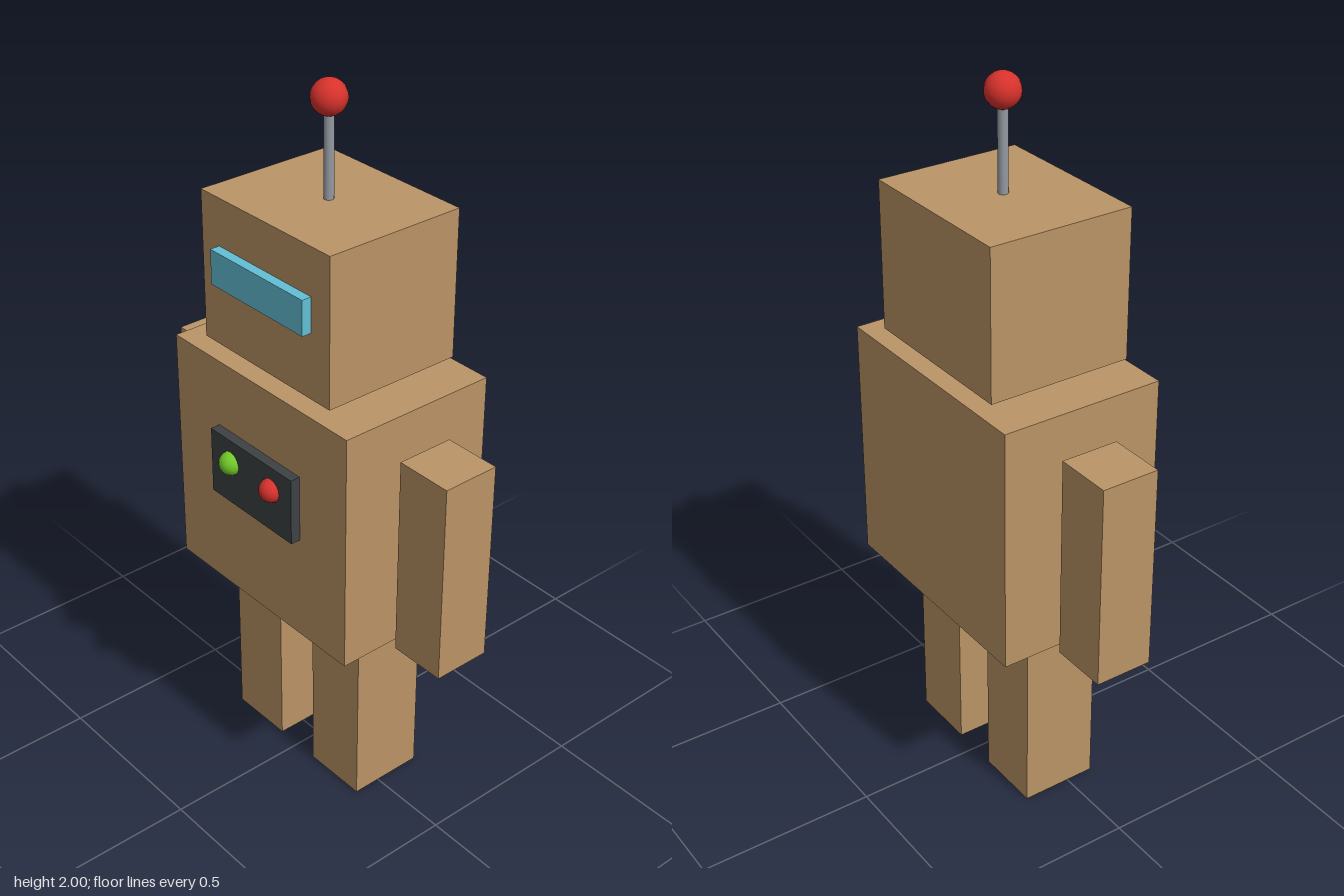
import * as THREE from 'three';

const material = (name, color) => {
  const m = new THREE.MeshStandardMaterial({ color });
  m.name = name;
  return m;
};

export function createModel() {
  const cardboard = material('cardboard brown', 0xba9466);
  const glass = material('visor blue', 0x62c0d6);
  const dark = material('panel charcoal', 0x3d4244);
  const red = material('signal red', 0xd8322c);
  const green = material('signal green', 0x72c92a);
  const metal = material('metal grey', 0x959ba3);

  const robot = new THREE.Group();
  robot.name = 'robot';

  const add = (name, geometry, mat, x, y, z) => {
    const mesh = new THREE.Mesh(geometry, mat);
    mesh.name = name;
    mesh.position.set(x, y, z);
    robot.add(mesh);
  };
  // Box given by its lower and upper bounds on each axis
  const box = (name, mat, [x0, x1], [y0, y1], [z0, z1]) =>
    add(name, new THREE.BoxGeometry(x1 - x0, y1 - y0, z1 - z0), mat,
      (x0 + x1) / 2, (y0 + y1) / 2, (z0 + z1) / 2);

  // Head and torso
  box('head', cardboard, [-0.246, 0.246], [1.28, 1.692], [-0.238, 0.172]);
  box('torso', cardboard, [-0.342, 0.342], [0.565, 1.252], [-0.265, 0.2]);

  // Limbs, mirrored left (+x) and right (-x)
  for (const [side, s] of [['left', 1], ['right', -1]]) {
    const span = (a, b) => (s > 0 ? [a, b] : [-b, -a]);
    box(side + 'Arm', cardboard, span(0.37, 0.534), [0.565, 1.142], [-0.115, 0.049]);
    box(side + 'Leg', cardboard, span(0.07, 0.261), [0, 0.55], [-0.138, 0.08]);
  }

  // Visor and chest panel with two lights
  box('visor', glass, [-0.178, 0.178], [1.464, 1.561], [0.165, 0.2]);
  box('chestPanel', dark, [-0.164, 0.164], [0.867, 1.059], [0.195, 0.228]);
  const lamp = new THREE.SphereGeometry(0.033, 16, 12);
  add('greenLight', lamp, green, -0.083, 0.991, 0.227);
  add('redLight', lamp, red, 0.083, 0.991, 0.227);

  // Antenna
  add('antennaRod', new THREE.CylinderGeometry(0.0137, 0.0137, 0.25, 12), metal, 0, 1.81, -0.033);
  add('antennaBall', new THREE.SphereGeometry(0.047, 16, 12), red, 0, 1.953, -0.033);

  return robot;
}
